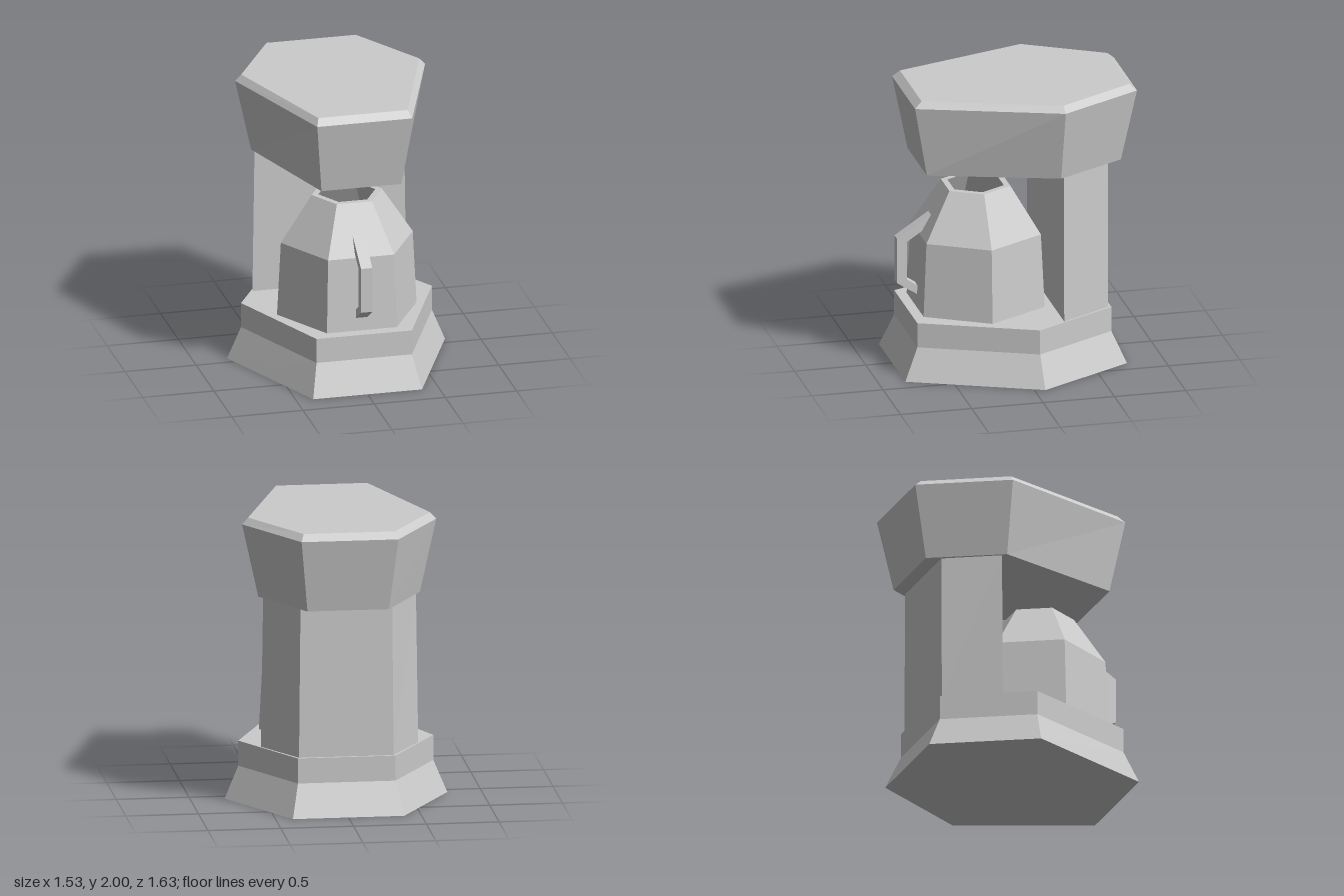
import * as THREE from 'three';

const material = new THREE.MeshStandardMaterial({ color: 0xcccccc, flatShading: true });
const hollowMaterial = material.clone();
hollowMaterial.side = THREE.DoubleSide;

function addMesh(group, name, geometry, mat = material) {
  const mesh = new THREE.Mesh(geometry, mat);
  mesh.name = name;
  group.add(mesh);
  return mesh;
}

// Solid from stacked cross-sections: { y, half: [[x, z], ...] } lists the +x corners
// from front to back, and the -x corners are mirrored.
function loft(sections) {
  const rings = sections.map(({ y, half }) => [
    ...half.map(([x, z]) => [x, y, z]),
    ...[...half].reverse().map(([x, z]) => [-x, y, z]),
  ]);
  const n = rings[0].length;
  const pos = [];
  const tri = (a, b, c) => pos.push(...a, ...b, ...c);
  for (let r = 0; r < rings.length - 1; r++) {
    const lo = rings[r], hi = rings[r + 1];
    for (let i = 0; i < n; i++) {
      const j = (i + 1) % n;
      tri(lo[i], lo[j], hi[j]);
      tri(lo[i], hi[j], hi[i]);
    }
  }
  const bottom = rings[0], top = rings[rings.length - 1];
  for (let i = 1; i < n - 1; i++) {
    tri(top[0], top[i], top[i + 1]);
    tri(bottom[0], bottom[i + 1], bottom[i]);
  }
  const geometry = new THREE.BufferGeometry();
  geometry.setAttribute('position', new THREE.Float32BufferAttribute(pos, 3));
  geometry.computeVertexNormals();
  return geometry;
}

export function createModel() {
  const model = new THREE.Group();
  model.name = 'coffeeMaker';

  // Flared hexagonal foot
  addMesh(model, 'base', loft([
    { y: 0, half: [[0.382, 0.815], [0.765, -0.073], [0.382, -0.738]] },
    { y: 0.225, half: [[0.335, 0.72], [0.67, -0.06], [0.335, -0.64]] },
    { y: 0.4, half: [[0.335, 0.72], [0.67, -0.06], [0.335, -0.64]] },
  ]));

  // Rear column joining base and head
  addMesh(model, 'column', loft([
    { y: 0.4, half: [[0.54, -0.26], [0.325, -0.62]] },
    { y: 1.445, half: [[0.525, -0.26], [0.315, -0.62]] },
  ]));

  // Overhanging head with a bevelled top
  addMesh(model, 'head', loft([
    { y: 1.445, half: [[0.28, 0.64], [0.555, -0.235], [0.28, -0.72]] },
    { y: 1.955, half: [[0.333, 0.735], [0.667, -0.24], [0.333, -0.82]] },
    { y: 2, half: [[0.313, 0.685], [0.625, -0.235], [0.313, -0.77]] },
  ]));

  // Six-sided jug: outer wall, rim, then the hollow inside
  const jug = new THREE.Group();
  jug.name = 'jug';
  model.add(jug);
  const profile = [
    [0, 0.408], [0.49, 0.408], [0.463, 0.93], [0.247, 1.26],
    [0.2, 1.26], [0.415, 0.92], [0.44, 0.45], [0, 0.45],
  ].map(([r, y]) => new THREE.Vector2(r, y));
  const body = new THREE.LatheGeometry(profile, 6, Math.PI / 6);
  addMesh(jug, 'jugBody', body, hollowMaterial).position.z = 0.23;

  // Angular jug handle, drawn in z and y
  const outline = [
    [0.55, 1.07], [0.79, 0.91], [0.79, 0.59], [0.65, 0.5], [0.62, 0.5],
    [0.62, 0.545], [0.72, 0.61], [0.72, 0.885], [0.6, 0.965], [0.57, 0.985],
  ].map(([z, y]) => new THREE.Vector2(z, y));
  const handle = new THREE.ExtrudeGeometry(new THREE.Shape(outline), { depth: 0.08, bevelEnabled: false });
  handle.rotateY(-Math.PI / 2);
  handle.translate(0.04, 0, 0);
  addMesh(jug, 'jugHandle', handle);

  return model;
}
